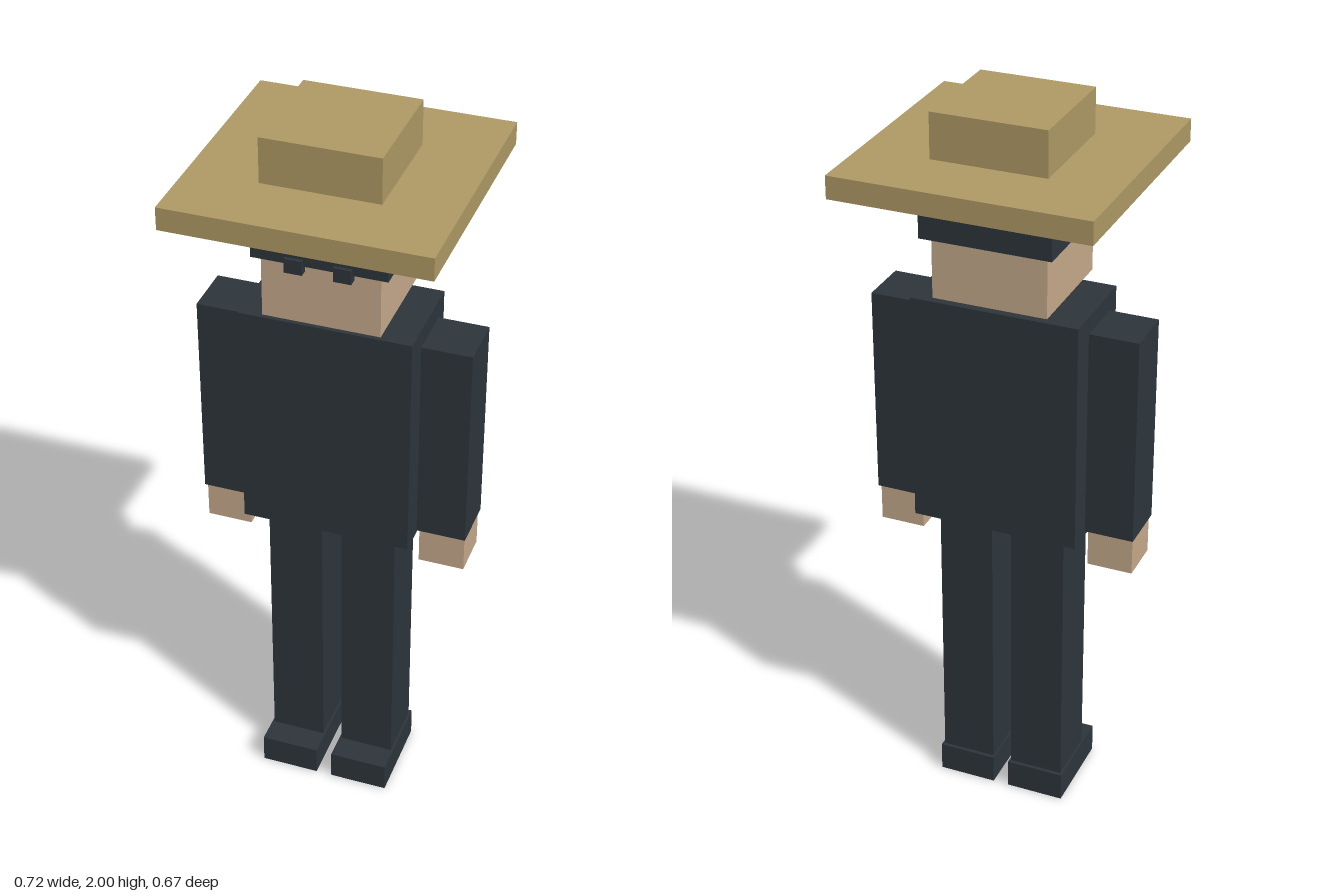
import * as THREE from 'three';

export function createModel() {
  const model = new THREE.Group();
  model.name = 'blockyFigure';

  const material = (name, color) => {
    const m = new THREE.MeshStandardMaterial({ color });
    m.name = name;
    return m;
  };
  const dark = material('dark cloth', 0x2d353c);
  const skin = material('skin', 0xc6aa8c);
  const straw = material('straw', 0xb09a66);

  // Box given by its extents along each axis
  const box = (name, mat, [x0, x1], [y0, y1], [z0, z1]) => {
    const mesh = new THREE.Mesh(new THREE.BoxGeometry(x1 - x0, y1 - y0, z1 - z0), mat);
    mesh.position.set((x0 + x1) / 2, (y0 + y1) / 2, (z0 + z1) / 2);
    mesh.name = name;
    model.add(mesh);
  };

  // Hat
  box('hatCrown', straw, [-0.152, 0.152], [1.88, 2], [-0.152, 0.152]);
  box('hatBrim', straw, [-0.336, 0.336], [1.82, 1.88], [-0.336, 0.336]);

  // Head and hair
  box('head', skin, [-0.152, 0.152], [1.515, 1.81], [-0.152, 0.152]);
  box('hair', dark, [-0.174, 0.174], [1.682, 1.82], [-0.179, 0.165]);

  // Torso
  box('torso', dark, [-0.225, 0.225], [0.862, 1.492], [-0.131, 0.131]);

  // Paired parts
  for (const [side, s] of [['left', 1], ['right', -1]]) {
    const span = (a, b) => (s > 0 ? [a, b] : [-b, -a]);
    box(side + 'Eye', dark, span(0.039, 0.085), [1.662, 1.7], [0.14, 0.175]);
    box(side + 'Arm', dark, span(0.23, 0.361), [0.882, 1.452], [-0.071, 0.071]);
    box(side + 'Hand', skin, span(0.235, 0.357), [0.778, 0.882], [-0.061, 0.061]);
    box(side + 'Leg', dark, span(0.027, 0.175), [0.08, 0.862], [-0.081, 0.081]);
    box(side + 'Shoe', dark, span(0.022, 0.181), [0, 0.081], [-0.091, 0.153]);
  }

  return model;
}
